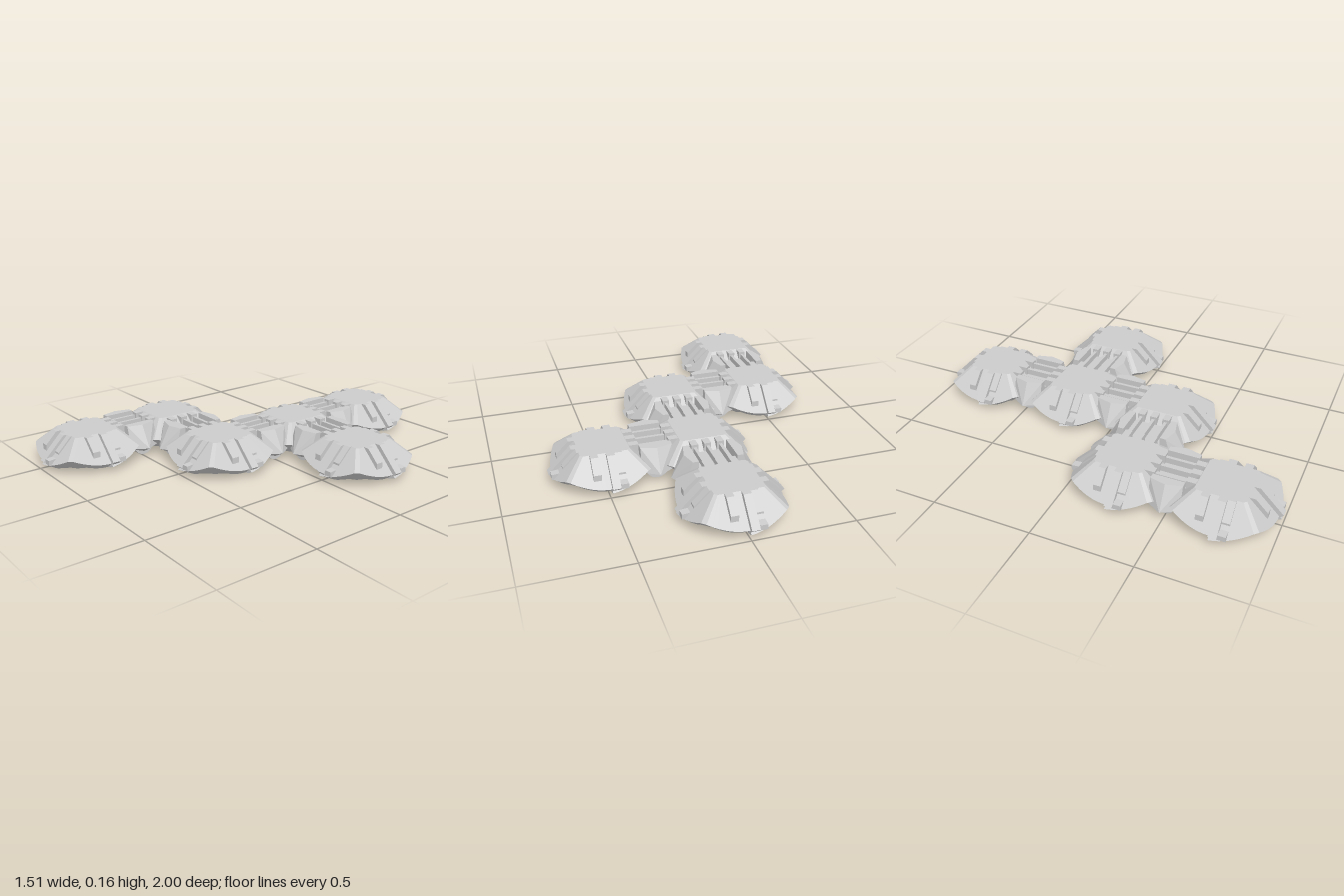
import * as THREE from 'three';
import { toCreasedNormals } from 'three/addons/utils/BufferGeometryUtils.js';
import { ConvexGeometry } from 'three/addons/geometries/ConvexGeometry.js';

const material = new THREE.MeshStandardMaterial({ color: 0xcccccc });
const PITCH = 0.49;

function part(name, geometry) {
  const mesh = new THREE.Mesh(geometry, material);
  mesh.name = name;
  return mesh;
}

// Segment body: a 45 degree frustum with bowed rims, a domed underside and a square recess.
// Side k faces +x turned by k quarter turns; hinged sides have a trimmed rim.
function segmentGeometry(hinged) {
  const rings = [[], [], [], [], [], [], []];
  for (let k = 0; k < 4; k++) {
    const c = Math.round(Math.cos(k * Math.PI / 2)), s = Math.round(Math.sin(k * Math.PI / 2));
    const add = (ring, d, u, y) => rings[ring].push(
      new THREE.Vector3(d * c - u * s, y, -d * s - u * c));
    for (let i = 0; i <= 17; i++) {
      const half = i < 9 ? 0 : 1;              // second half of each free rim steps outward
      const t = half ? (i - 9) / 8 : i / 8 - 1;
      const u = 0.185 * t;
      let d = 0.245 - 0.042 * t * t + half * 0.014 * (1 - t);
      if (hinged[k]) d = Math.min(d, 0.235);
      const y = 0.285 - d;
      add(0, 0, 0, 0.165);
      add(1, 0.12, 0.107 * t, 0.165);
      add(2, d, u, y);
      add(3, d * 0.87, u * 0.9, Math.max(0.014, y - 0.027));
      add(4, 0.14, 0.14 * t, 0.001 + 0.016 * t * t);
      add(5, 0.105, 0.105 * t, 0.045);
      add(6, 0, 0, 0.045);
    }
  }
  const points = [];
  const n = rings[0].length;
  for (let r = 0; r < 6; r++) {
    for (let j = 0; j < n; j++) {
      const k = (j + 1) % n;
      const a = rings[r][j], b = rings[r + 1][j], c = rings[r + 1][k], d = rings[r][k];
      if (r < 5) points.push(a, b, c);
      if (r > 0) points.push(a, c, d);
    }
  }
  const geometry = new THREE.BufferGeometry().setFromPoints(points);
  return toCreasedNormals(geometry, 0.4);
}

// Fin along the slope of a side, from u0 to u1
function finGeometry(profile, u0, u1) {
  const shape = new THREE.Shape(profile.map(([x, y]) => new THREE.Vector2(x, y)));
  const geometry = new THREE.ExtrudeGeometry(shape, { depth: u1 - u0, bevelEnabled: false });
  return geometry.translate(0, 0, -u1);
}

function addFins(group) {
  const shortFin = [[0.1, 0.1], [0.2, 0.07], [0.21, 0.075], [0.21, 0.105], [0.15, 0.165], [0.1, 0.165]];
  const longFin = [[0.1, 0.1], [0.215, 0.015], [0.228, 0.015], [0.265, 0.05], [0.15, 0.165], [0.1, 0.165]];
  const latch = [[0.1, 0.1], [0.215, 0.03], [0.255, 0.04], [0.255, 0.065], [0.2, 0.07], [0.2, 0.095], [0.13, 0.165], [0.1, 0.165]];
  group.add(part('shortFin', finGeometry(shortFin, -0.078, -0.04)));
  group.add(part('longFin', finGeometry(longFin, 0, 0.04)));
  group.add(part('latchFin', finGeometry(latch, 0.04, 0.078)));
}

// Hinge: barrel, low bridge, pointed ends and three crossing fingers; long axis on x
function createHinge() {
  const hinge = new THREE.Group();
  hinge.name = 'hinge';
  const barrel = new THREE.CylinderGeometry(0.056, 0.056, 0.3, 24);
  hinge.add(part('hingeBarrel', barrel.rotateZ(Math.PI / 2).translate(0, 0.06, 0)));
  hinge.add(part('hingeBridge', new THREE.BoxGeometry(0.24, 0.08, 0.15).translate(0, 0.08, 0)));
  for (const side of [-1, 1]) {
    const corners = [];
    for (const z of [-0.078, 0.078]) {
      for (const [x, y] of [[0.095, 0.165], [0.125, 0.165], [0.16, 0.05], [0.095, 0.05]]) {
        corners.push(new THREE.Vector3(side * x, y, z));
      }
    }
    corners.push(new THREE.Vector3(side * 0.145, 0.165, 0), new THREE.Vector3(side * 0.207, 0.05, 0));
    corners.push(new THREE.Vector3(side * 0.15, 0.02, 0));
    hinge.add(part('hingeEnd', new ConvexGeometry(corners)));
    // knuckles standing on both edges of the bridge
    for (const x of [-0.065, 0, 0.065]) {
      hinge.add(part('hingeKnuckle', new THREE.BoxGeometry(0.035, 0.05, 0.05).translate(x, 0.138, side * 0.1)));
    }
  }
  for (const x of [-0.065, 0, 0.065]) {
    hinge.add(part('hingeFinger', new THREE.BoxGeometry(0.016, 0.03, 0.24).translate(x, 0.135, 0)));
  }
  return hinge;
}

export function createModel() {
  const model = new THREE.Group();
  model.name = 'foldingShell';
  // Six segments laid out flat, in grid steps
  const cells = [[0, -1.5], [0, -0.5], [0, 0.5], [1, -0.5], [-1, 0.5], [-1, 1.5]];
  const directions = [[1, 0], [0, -1], [-1, 0], [0, 1]];
  for (const [x, z] of cells) {
    const hinged = directions.map(([dx, dz]) => cells.some(([a, b]) => a === x + dx && b === z + dz));
    const segment = new THREE.Group();
    segment.name = 'segment';
    segment.position.set(x * PITCH, 0, z * PITCH);
    segment.add(part('segmentBody', segmentGeometry(hinged)));
    hinged.forEach((isHinged, k) => {
      if (isHinged) return;
      const side = new THREE.Group();
      side.name = 'sideFins';
      side.rotation.y = k * Math.PI / 2;
      addFins(side);
      segment.add(side);
    });
    model.add(segment);
    // One hinge per neighbouring pair
    for (const k of [0, 3]) {
      if (!hinged[k]) continue;
      const [dx, dz] = directions[k];
      const hinge = createHinge();
      hinge.position.set((x + dx / 2) * PITCH, 0, (z + dz / 2) * PITCH);
      if (dx) hinge.rotation.y = Math.PI / 2;
      model.add(hinge);
    }
  }
  return model;
}
